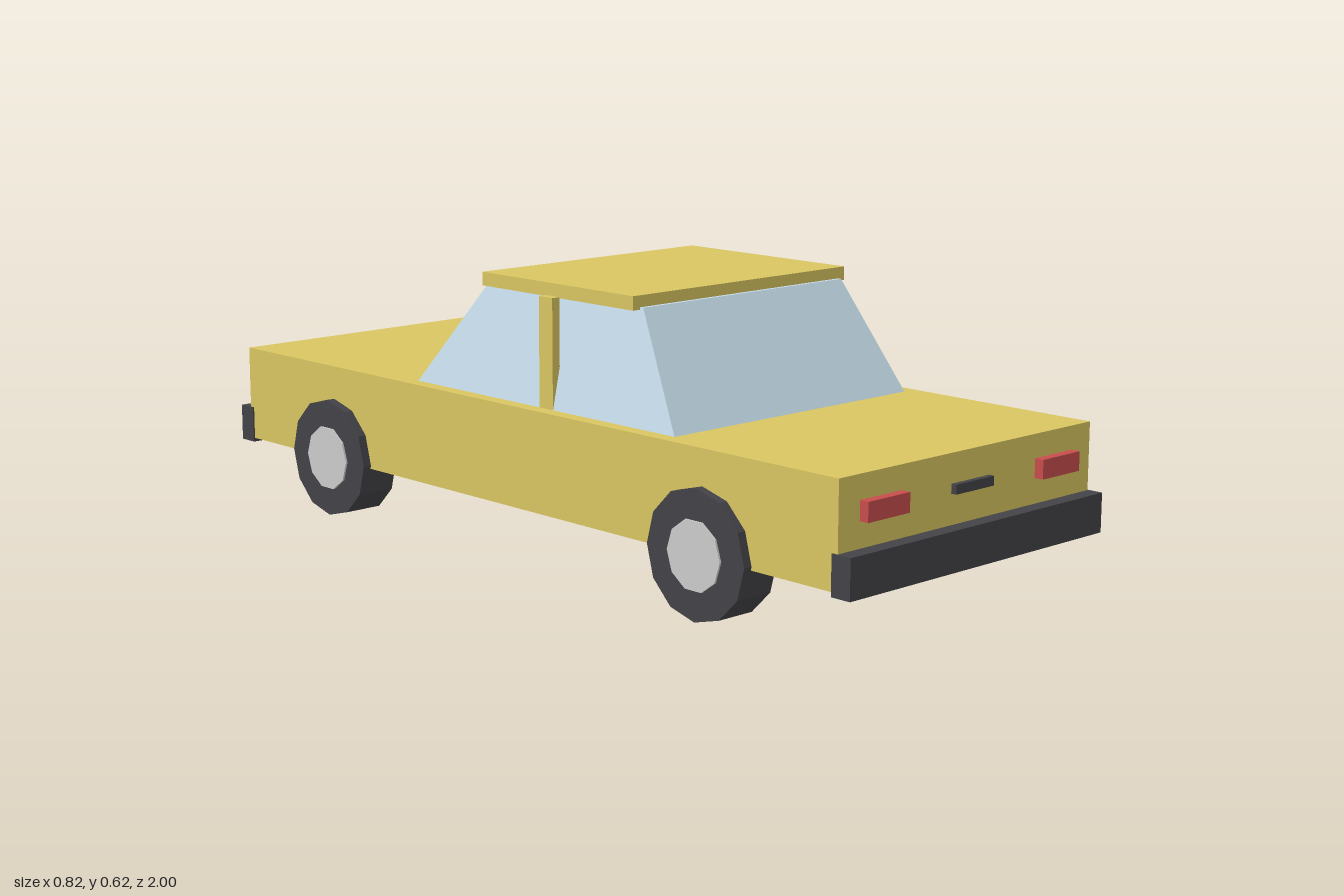
import * as THREE from 'three';

const material = (color) => new THREE.MeshStandardMaterial({ color, flatShading: true });

export function createModel() {
  const car = new THREE.Group();
  car.name = 'car';
  const paint = material(0xd9c662);
  const dark = material(0x434348);
  const glass = material(0xc5dcea);
  const chrome = material(0xc6c6ca);
  const red = material(0xc84c4c);
  const lamp = material(0xd8d6cc);

  const add = (name, geometry, mat) => {
    const mesh = new THREE.Mesh(geometry, mat);
    mesh.name = name;
    car.add(mesh);
    return mesh;
  };
  // Box given by its extents along each axis
  const box = (name, mat, [x0, x1], [y0, y1], [z0, z1]) =>
    add(name, new THREE.BoxGeometry(x1 - x0, y1 - y0, z1 - z0), mat)
      .position.set((x0 + x1) / 2, (y0 + y1) / 2, (z0 + z1) / 2);

  // Body and roof
  box('body', paint, [-0.385, 0.385], [0.13, 0.352], [-0.965, 0.965]);
  box('roof', paint, [-0.32, 0.32], [0.587, 0.617], [-0.15, 0.333]);

  // Cabin glass: a box whose top is drawn in on all four sides
  const cabin = new THREE.BoxGeometry(1, 1, 1);
  const p = cabin.attributes.position;
  for (let i = 0; i < p.count; i++) {
    const top = p.getY(i) > 0;
    const front = p.getZ(i) > 0;
    p.setXYZ(i,
      Math.sign(p.getX(i)) * (top ? 0.3 : 0.352),
      top ? 0.592 : 0.35,
      front ? (top ? 0.342 : 0.49) : (top ? -0.152 : -0.345));
  }
  cabin.computeVertexNormals();
  add('cabinGlass', cabin, glass);

  // Bumpers
  box('frontBumper', dark, [-0.388, 0.388], [0.121, 0.206], [0.952, 1]);
  box('rearBumper', dark, [-0.388, 0.388], [0.121, 0.206], [-1, -0.952]);

  // Handle and grille
  box('handle', dark, [-0.058, 0.058], [0.27, 0.29], [0.955, 0.978]);
  box('grille', dark, [-0.2, 0.2], [0.243, 0.283], [-0.98, -0.955]);

  // Mirrored parts: pillars, lights and wheels
  for (const s of [-1, 1]) {
    const side = s > 0 ? 'left' : 'right';
    const span = (a, b) => (s > 0 ? [a, b] : [-b, -a]);
    box(side + 'Pillar', paint, span(0.332, 0.352), [0.35, 0.592], [0.075, 0.118]);
    box(side + 'RedLight', red, span(0.205, 0.325), [0.26, 0.301], [0.955, 0.986]);
    box(side + 'Headlight', lamp, span(0.195, 0.325), [0.26, 0.303], [-0.986, -0.955]);

    for (const [end, z] of [['Front', 0.603], ['Rear', -0.621]]) {
      const tyre = add(side + end + 'Tyre', new THREE.CylinderGeometry(0.1375, 0.1375, 0.093, 12), dark);
      const hub = add(side + end + 'Hub', new THREE.CylinderGeometry(0.075, 0.075, 0.102, 10), chrome);
      for (const part of [tyre, hub]) {
        part.rotation.z = Math.PI / 2;
        part.position.set(s * 0.359, 0.1375, z);
      }
    }
  }
  return car;
}
